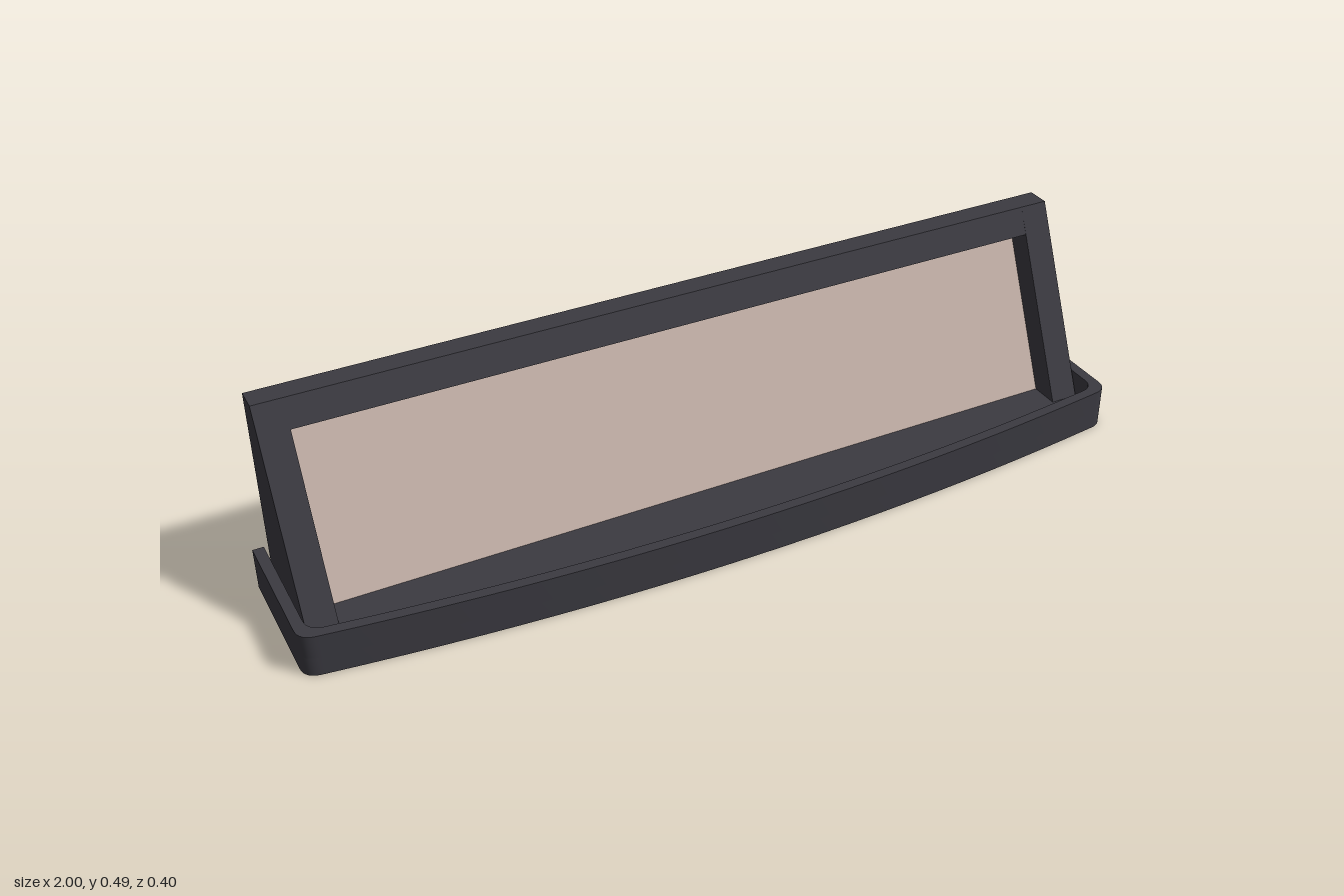
import * as THREE from 'three';
import { toCreasedNormals } from 'three/addons/utils/BufferGeometryUtils.js';

const FLOOR = 0.045, RIM = 0.1, BACK = -0.2;

// Half-open outline of the tray: bowed front with rounded corners, from back left to back right
function trayOutline(inset) {
  const w = 1 - inset, r = 0.04, pts = [];
  const bow = x => 0.2 - inset - 0.065 * (x / 0.965) ** 2;
  const edge = w - r, zFront = bow(edge);
  const corner = new THREE.QuadraticBezierCurve(
    new THREE.Vector2(w, zFront - r), new THREE.Vector2(w, zFront - 0.003), new THREE.Vector2(edge, zFront));
  const right = corner.getPoints(8);
  pts.push(new THREE.Vector2(w, BACK), ...right);
  for (let i = 1; i < 24; i++) {
    const x = edge * (1 - i / 12);
    pts.push(new THREE.Vector2(x, bow(x)));
  }
  right.reverse().forEach(p => pts.push(new THREE.Vector2(-p.x, p.y)));
  pts.push(new THREE.Vector2(-w, BACK));
  return pts;
}

// Plan shape (x, z) made into a slab between two heights
function slab(points, y0, y1) {
  const g = new THREE.ExtrudeGeometry(new THREE.Shape(points), { depth: y1 - y0, bevelEnabled: false });
  g.rotateX(Math.PI / 2).translate(0, y1, 0);
  return toCreasedNormals(g, 0.5);
}

// Side profile of [z, y] pairs, swept from x0 to x1
function sweep(profile, x0, x1) {
  const shape = new THREE.Shape(profile.map(([z, y]) => new THREE.Vector2(-z, y)));
  const g = new THREE.ExtrudeGeometry(shape, { depth: x1 - x0, bevelEnabled: false });
  return g.rotateY(Math.PI / 2).translate(x0, 0, 0);
}

export function createModel() {
  const model = new THREE.Group();
  const charcoal = new THREE.MeshStandardMaterial({ color: 0x3b3a41 });
  charcoal.name = 'charcoal';
  const beige = new THREE.MeshStandardMaterial({ color: 0xc2afa6 });
  beige.name = 'beige';
  const add = (name, geometry, material) => {
    const mesh = new THREE.Mesh(geometry, material);
    mesh.name = name;
    model.add(mesh);
  };

  // Tray floor and the thin raised rim around its sides and front
  const outer = trayOutline(0);
  add('trayFloor', slab(outer, 0, FLOOR), charcoal);
  add('trayRim', slab([...outer, ...trayOutline(0.025).reverse()], FLOOR, RIM), charcoal);

  // Wedge-shaped cheeks at both ends of the stand
  const back = -0.199, top = 0.485;
  const wedge = [[back, FLOOR], [0.054, FLOOR], [-0.145, top], [back, top]];
  add('rightCheek', sweep(wedge, -0.966, -0.898), charcoal);
  add('leftCheek', sweep(wedge, 0.903, 0.971), charcoal);

  // Back wall with its overhanging top lip
  const panelFoot = [-0.019, FLOOR], panelHead = [-0.176, 0.398];
  add('backWall', sweep(
    [[back, FLOOR], panelFoot, panelHead, [-0.118, 0.424], [-0.145, top], [back, top]], -0.898, 0.903), charcoal);

  // Thin sloping display panel, set into the frame
  const t = 0.004;
  add('displayPanel', sweep(
    [panelFoot, [panelFoot[0] + t, FLOOR], [panelHead[0] + t, panelHead[1] + 0.001], panelHead], -0.898, 0.903), beige);

  return model;
}
